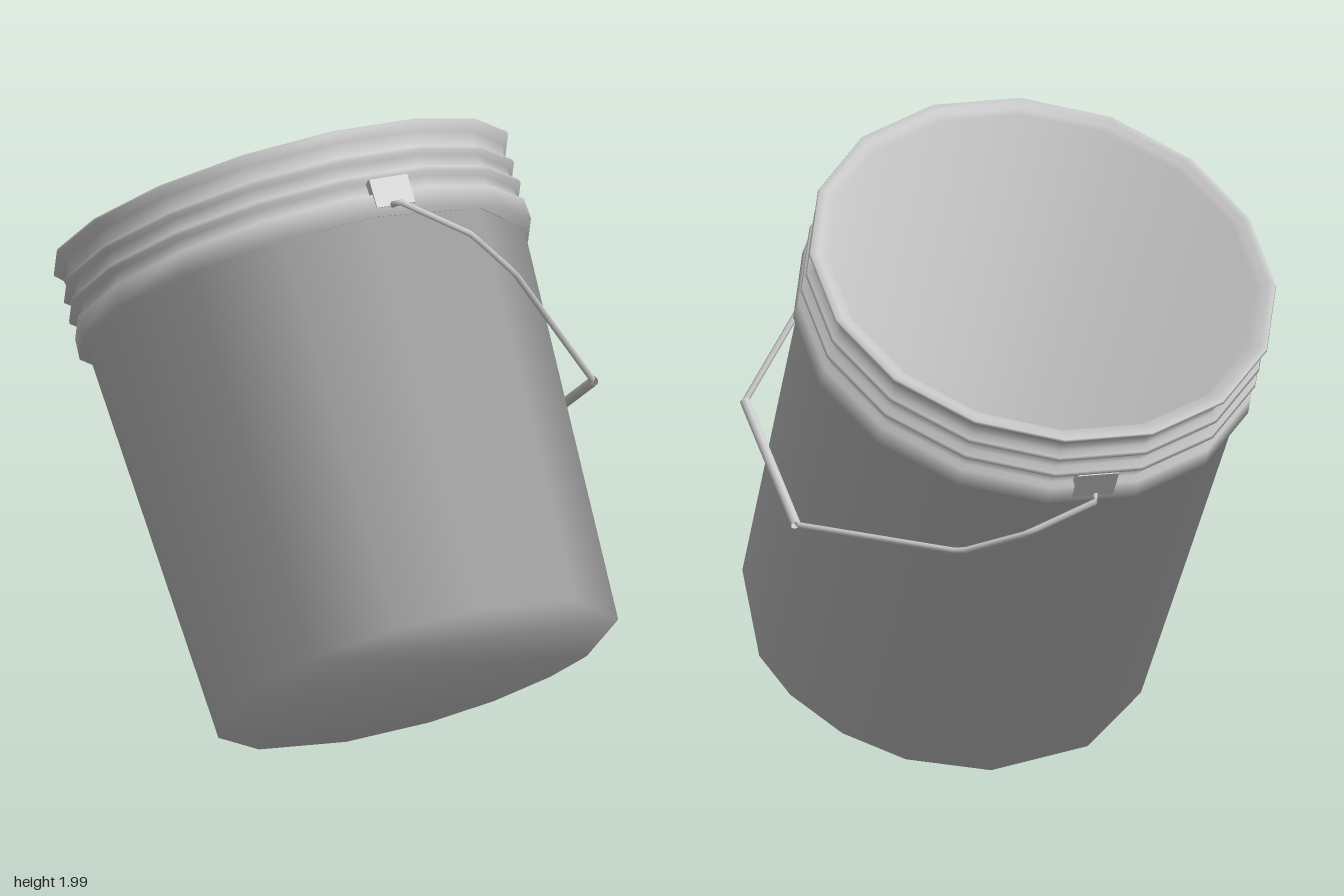
import * as THREE from 'three';

const grey = new THREE.MeshStandardMaterial({ color: 0xcccccc, side: THREE.DoubleSide });
const V = (x, y, z) => new THREE.Vector3(x, y, z);

function part(name, geometry, parent) {
  const mesh = new THREE.Mesh(geometry, grey);
  mesh.name = name;
  parent.add(mesh);
  return mesh;
}

// Turned shell with columns at the given angles (degrees from +z towards +x).
// Each ring's normal is the even average of its two neighbouring slopes.
// A profile end on the axis becomes a flat cap of strips across the ring.
function turnedShell(profile, angles) {
  const n = angles.length;
  const slope = (a, b) => new THREE.Vector2(b[1] - a[1], a[0] - b[0]).normalize();
  const position = [], normal = [], index = [], rings = [];

  profile.forEach((p, j) => {
    if (p[0] === 0) return;
    const bend = new THREE.Vector2();
    if (j > 0) bend.add(slope(profile[j - 1], p));
    if (j < profile.length - 1) bend.add(slope(p, profile[j + 1]));
    bend.normalize();
    rings.push(position.length / 3);
    for (const deg of angles) {
      const a = THREE.MathUtils.degToRad(deg), s = Math.sin(a), c = Math.cos(a);
      position.push(p[0] * s, p[1], p[0] * c);
      normal.push(bend.x * s, bend.y, bend.x * c);
    }
  });

  for (let j = 0; j < rings.length - 1; j++) {
    for (let i = 0; i < n; i++) {
      const k = (i + 1) % n, lo = rings[j], hi = rings[j + 1];
      index.push(lo + i, lo + k, hi + k, lo + i, hi + k, hi + i);
    }
  }

  const cap = (base, up) => {
    const order = [0];
    for (let i = 1; order.length < n; i++) order.push(i, n - i);
    for (let k = 0; k < n - 2; k++) {
      const [a, b, c] = order.slice(k, k + 3).map((v) => base + v);
      if ((k % 2 === 0) === up) index.push(a, b, c);
      else index.push(a, c, b);
    }
  };
  if (profile[0][0] === 0) cap(rings[0], false);
  if (profile[profile.length - 1][0] === 0) cap(rings[rings.length - 1], true);

  const geo = new THREE.BufferGeometry();
  geo.setAttribute('position', new THREE.Float32BufferAttribute(position, 3));
  geo.setAttribute('normal', new THREE.Float32BufferAttribute(normal, 3));
  geo.setIndex(index);
  return geo;
}

// Tube along straight runs between points
function wire(points, radius, sides) {
  const path = new THREE.CurvePath();
  for (let i = 1; i < points.length; i++) path.add(new THREE.LineCurve3(points[i - 1], points[i]));
  return new THREE.TubeGeometry(path, 70, radius, sides);
}

export function createModel() {
  const model = new THREE.Group();
  model.name = 'bucketWithHandle';

  // Tilted bucket, origin at the centre of its base
  const bucket = new THREE.Group();
  bucket.name = 'bucket';
  bucket.position.set(-0.01, 0.351, 0.455);
  bucket.rotation.x = -0.595;
  model.add(bucket);

  // Base and tapered outer wall, unevenly faceted, softly shaded over the edges
  const bodyAngles = [-6, 28, 65, 98, 114, 133, 152, 176, 207, 235, 256, 277, 303, 330];
  part('body', turnedShell([
    [0, 0], [0.626, 0], [0.68, 1.235], [0.684, 1.235],
  ], bodyAngles), bucket);

  // Collar, two thin ribs, flared lip, then the inner wall down to the floor
  const rimAngles = Array.from({ length: 16 }, (_, i) => (i + 0.5) * 22.5);
  part('rimAndInside', turnedShell([
    [0.645, 1.225], [0.645, 1.235], [0.71, 1.235], [0.706, 1.3], [0.686, 1.306],
    [0.684, 1.342], [0.71, 1.35], [0.707, 1.362], [0.684, 1.37],
    [0.682, 1.408], [0.708, 1.416], [0.704, 1.427], [0.682, 1.435],
    [0.69, 1.48], [0.715, 1.505], [0.712, 1.513], [0.69, 1.513],
    [0.684, 1.497], [0.657, 1.497], [0.585, 0.02], [0, 0.02],
  ], rimAngles), bucket);

  // Flat ears that carry the handle, front and back
  for (const s of [1, -1]) {
    const ear = part(s > 0 ? 'frontEar' : 'backEar', new THREE.BoxGeometry(0.13, 0.09, 0.04), bucket);
    ear.position.set(0, 1.302, s * 0.678);
  }

  // Bent wire handle hanging to the left side
  const handle = new THREE.Group();
  handle.name = 'handle';
  model.add(handle);
  const gripFront = V(0.7, 1.115, 0.26), gripBack = V(0.7, 0.83, -0.185);
  part('handleWire', wire([
    V(-0.02, 1.77, 0.3), V(-0.02, 1.805, 0.36), V(0.19, 1.69, 0.43), V(0.35, 1.54, 0.41),
    gripFront, gripBack,
    V(0.35, 0.82, -0.655), V(0.19, 0.89, -0.79), V(-0.02, 0.99, -0.85), V(-0.02, 1.03, -0.79),
  ], 0.01, 6), handle);
  part('grip', new THREE.TubeGeometry(new THREE.LineCurve3(gripFront, gripBack), 1, 0.016, 8), handle);

  return model;
}
